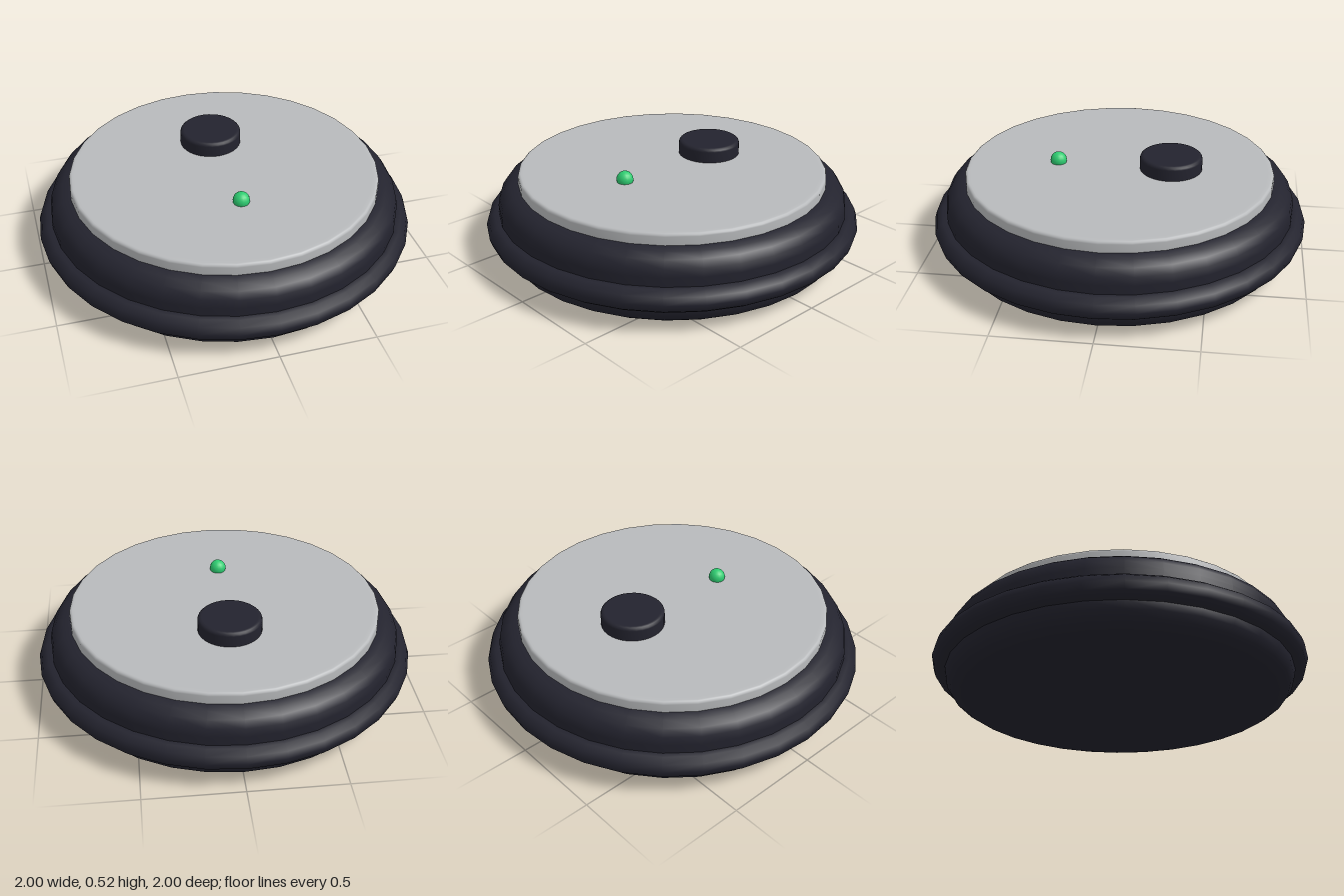
import * as THREE from 'three';

const SEGMENTS = 32;

// Rounded disc from y0 to y1 with quarter-round edges, centred on the y axis.
function roundedDisc(radius, y0, y1, bottomRound, topRound, steps) {
  const pts = [new THREE.Vector2(0, y0), new THREE.Vector2((radius - bottomRound) * 0.98, y0)];
  for (let i = 0; i <= steps; i++) {
    const a = (i / steps) * Math.PI / 2;
    pts.push(new THREE.Vector2(radius - bottomRound + Math.sin(a) * bottomRound, y0 + bottomRound * (1 - Math.cos(a))));
  }
  for (let i = 0; i <= steps; i++) {
    const a = (i / steps) * Math.PI / 2;
    pts.push(new THREE.Vector2(radius - topRound + Math.cos(a) * topRound, y1 - topRound * (1 - Math.sin(a))));
  }
  pts.push(new THREE.Vector2((radius - topRound) * 0.98, y1), new THREE.Vector2(0, y1));
  return new THREE.LatheGeometry(pts, SEGMENTS);
}

export function createModel() {
  const model = new THREE.Group();
  model.name = 'robotVacuum';

  const material = (name, color) => {
    const m = new THREE.MeshStandardMaterial({ color });
    m.name = name;
    return m;
  };
  const dark = material('darkShell', 0x23232e);
  const grey = material('lightGrey', 0xb8babc);
  const green = material('greenLight', 0x2ecc71);

  const add = (name, geometry, mat, x = 0, y = 0, z = 0) => {
    const mesh = new THREE.Mesh(geometry, mat);
    mesh.name = name;
    mesh.position.set(x, y, z);
    model.add(mesh);
    return mesh;
  };

  // Main round body
  add('body', roundedDisc(0.93, 0, 0.385, 0.11, 0.11, 4), dark);

  // Bumper ring around the body
  const ring = new THREE.TorusGeometry(0.9375, 0.0625, 10, SEGMENTS);
  ring.rotateX(Math.PI / 2);
  add('bumperRing', ring, dark, 0, 0.168, 0);

  // Top cover plate
  add('topPlate', roundedDisc(0.82, 0.38, 0.445, 0.005, 0.016, 3), grey);

  // Sensor turret towards the back
  add('sensorTurret', roundedDisc(0.165, 0.43, 0.523, 0.005, 0.018, 3), dark, 0, 0, -0.275);

  // Status light towards the front
  add('statusLight', new THREE.SphereGeometry(0.044, 16, 12), green, 0, 0.459, 0.33);

  return model;
}
